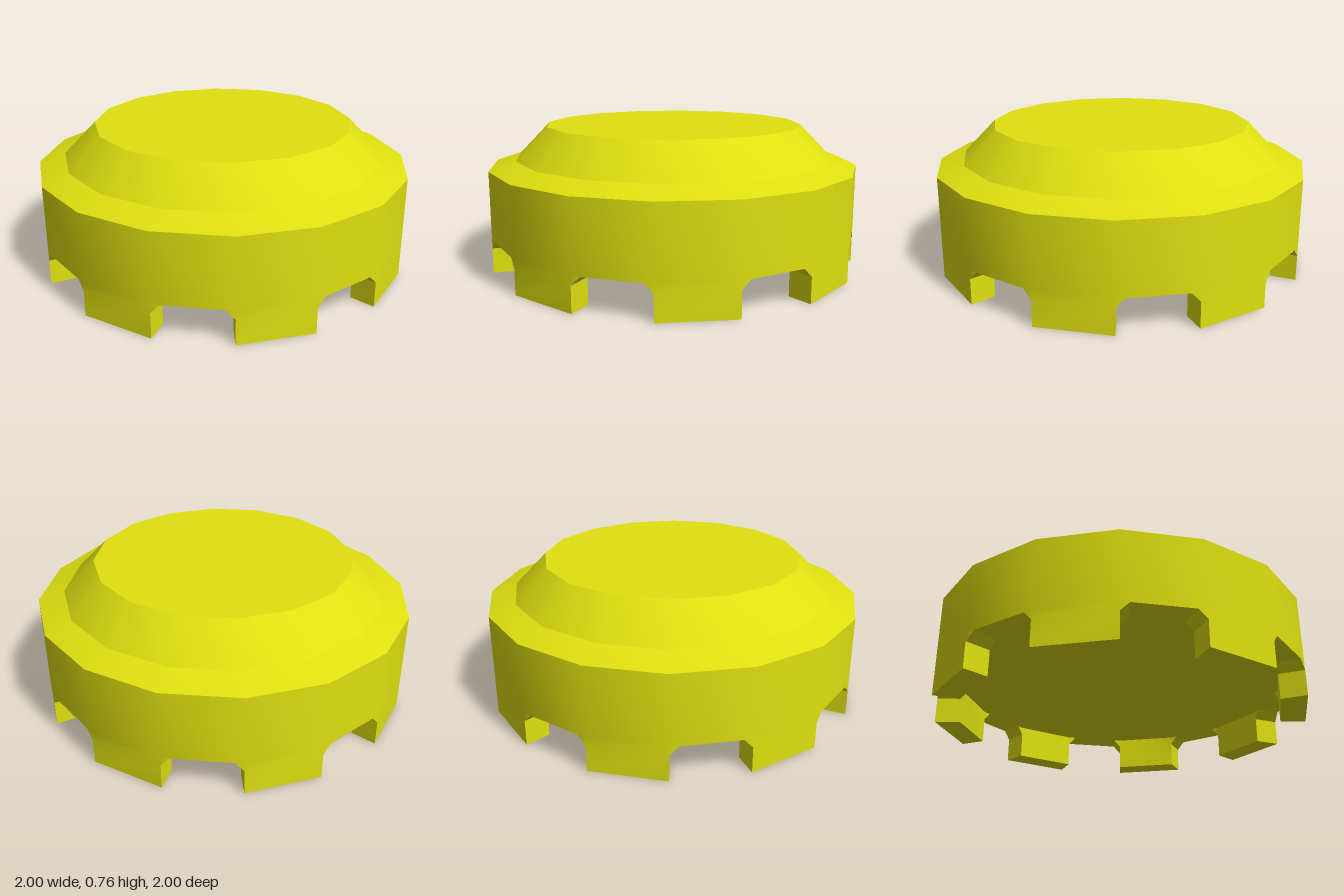
import * as THREE from 'three';
import { mergeGeometries, toCreasedNormals } from 'three/addons/utils/BufferGeometryUtils.js';

const SIDES = 16, INNER = 0.865, FLOOR = 0.18, CHAMFER_Y = 0.135, FLARE = 0.115;

// point on a 16-sided ring; s counts sides from the front towards +x
function ringPoint(r, s, y) {
  const i = Math.floor(s), t = s - i;
  const a = (i * 2 * Math.PI) / SIDES, b = ((i + 1) * 2 * Math.PI) / SIDES;
  return [
    r * THREE.MathUtils.lerp(Math.sin(a), Math.sin(b), t), y,
    r * THREE.MathUtils.lerp(Math.cos(a), Math.cos(b), t),
  ];
}

// one foot: a single side wide, flaring where it meets the body
function footGeometry(start) {
  const pos = [];
  const out = ([s, y]) => ringPoint(1, start + s, y);
  const inn = ([s, y]) => ringPoint(INNER, start + s, y);
  const tri = (a, b, c) => pos.push(...a, ...b, ...c);
  const outline = [
    [0, 0], [1, 0], [1, CHAMFER_Y], [1 + FLARE, FLOOR], [1, FLOOR],
    [0, FLOOR], [-FLARE, FLOOR], [0, CHAMFER_Y],
  ];
  // outer and inner faces
  for (const [a, b, c] of [[0, 1, 2], [0, 2, 7], [7, 2, 4], [7, 4, 5], [2, 3, 4], [7, 5, 6]]) {
    tri(out(outline[a]), out(outline[b]), out(outline[c]));
    tri(inn(outline[a]), inn(outline[c]), inn(outline[b]));
  }
  // underside, sides and chamfers
  for (const i of [0, 1, 2, 6, 7]) {
    const a = outline[i], b = outline[(i + 1) % outline.length];
    tri(out(a), inn(a), inn(b));
    tri(out(a), inn(b), out(b));
  }
  const g = new THREE.BufferGeometry();
  g.setAttribute('position', new THREE.Float32BufferAttribute(pos, 3));
  return g;
}

export function createModel() {
  const yellow = new THREE.MeshStandardMaterial({ color: 0xe0e010 });
  yellow.name = 'yellow';

  // body: flat floor, upright wall, two-step slope, flat top
  const profile = [[0, FLOOR], [1, FLOOR], [1, 0.545], [0.86, 0.592], [0.69, 0.765], [0, 0.765]];
  const lathe = new THREE.LatheGeometry(profile.map(([r, y]) => new THREE.Vector2(r, y)), SIDES);
  const body = lathe.toNonIndexed();
  body.deleteAttribute('uv');
  body.deleteAttribute('normal');

  // eight feet on every second side, joined so the wall shades evenly
  const parts = [body];
  for (let s = 0; s < SIDES; s += 2) parts.push(footGeometry(s));
  const cap = new THREE.Mesh(toCreasedNormals(mergeGeometries(parts), 0.45), yellow);
  cap.name = 'notchedCap';

  const model = new THREE.Group();
  model.name = 'cap';
  model.add(cap);
  return model;
}
